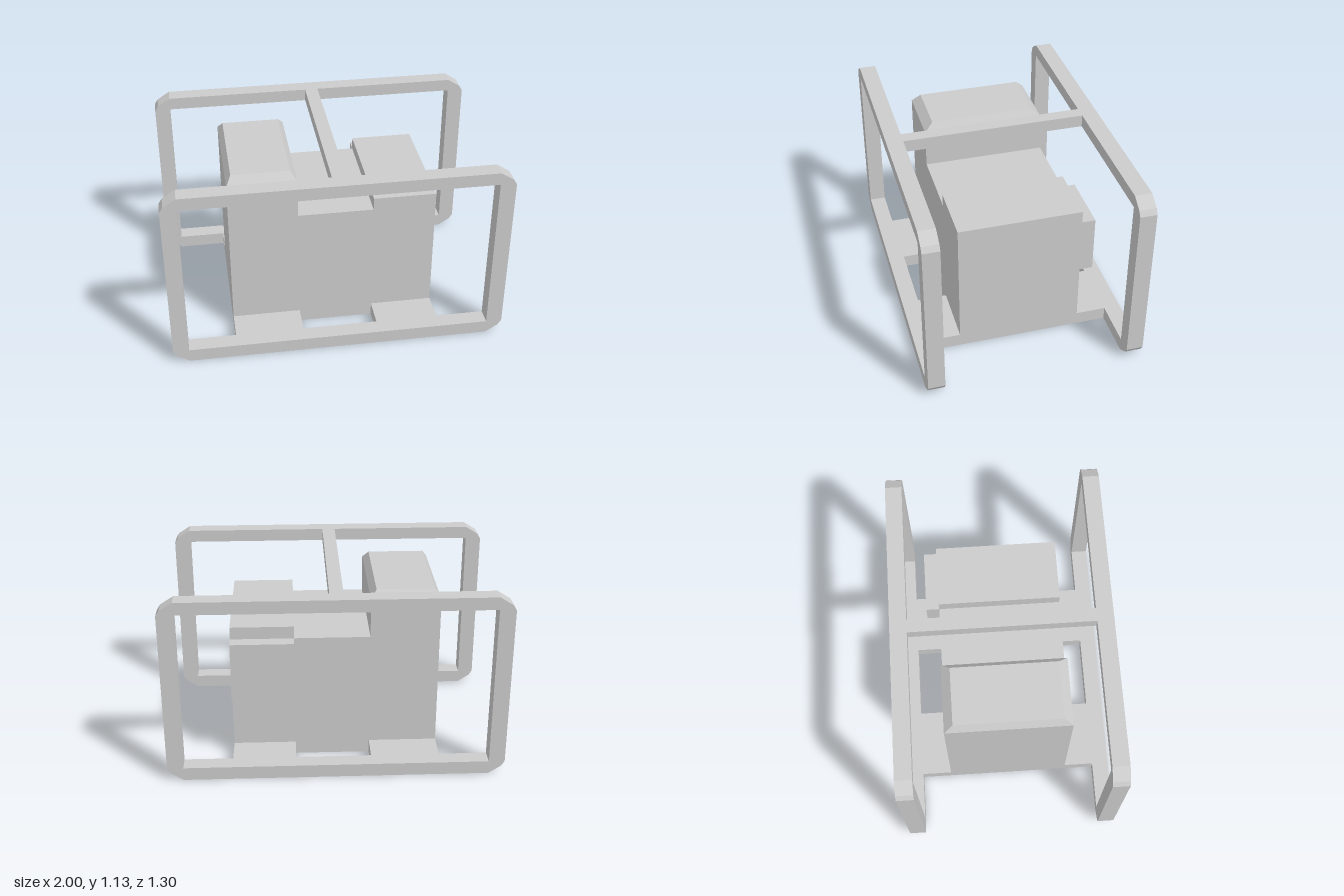
import * as THREE from 'three';
import { mergeGeometries } from 'three/addons/utils/BufferGeometryUtils.js';

// Hollow shell, open underneath
const material = new THREE.MeshStandardMaterial({ color: 0xcccccc, flatShading: true, side: THREE.DoubleSide });

const LEFT = [0.24, 0.615]; // x range of the low block and its feet
const RIGHT = [-0.62, -0.21]; // x range of the tall block and its feet
const DEPTH = 0.37;
const FLOOR = 0.08;
const SIDES = ['px', 'nx', 'py', 'ny', 'pz', 'nz'];

// Sweep an xy polyline along z (counter-clockwise faces outward)
function strip(points, z0, z1) {
  const pos = [];
  for (let i = 0; i < points.length - 1; i++) {
    const [ax, ay] = points[i], [bx, by] = points[i + 1];
    pos.push(ax, ay, z0, bx, by, z0, bx, by, z1, ax, ay, z0, bx, by, z1, ax, ay, z1);
  }
  const g = new THREE.BufferGeometry();
  g.setAttribute('position', new THREE.Float32BufferAttribute(pos, 3));
  g.computeVertexNormals();
  return g;
}

// Flat xy polygon at a given z, facing +z or -z
function wall(points, z, facing, hole) {
  const pts = (list) => list.map(([x, y]) => new THREE.Vector2(x * facing, y));
  const shape = new THREE.Shape(pts(points));
  if (hole) shape.holes.push(new THREE.Path(pts(hole)));
  const g = new THREE.ShapeGeometry(shape).toNonIndexed();
  if (facing < 0) g.rotateY(Math.PI);
  g.translate(0, 0, z);
  g.deleteAttribute('uv');
  return g;
}

const rect = (x0, x1, y0, y1) => [[x0, y0], [x1, y0], [x1, y1], [x0, y1]];

// Box between limits, without the listed sides
function openBox([x0, x1], [y0, y1], [z0, z1], skip) {
  const g = new THREE.BoxGeometry(x1 - x0, y1 - y0, z1 - z0);
  g.translate((x0 + x1) / 2, (y0 + y1) / 2, (z0 + z1) / 2);
  const index = Array.from(g.index.array);
  g.setIndex(index.filter((_, i) => !skip.includes(SIDES[Math.floor(i / 6)])));
  g.clearGroups();
  return g;
}

export function createModel() {
  const model = new THREE.Group();
  const add = (name, parts) => {
    const list = Array.isArray(parts) ? parts : [parts];
    const mesh = new THREE.Mesh(list.length > 1 ? mergeGeometries(list) : list[0], material);
    mesh.name = name;
    model.add(mesh);
  };

  // Body: stepped skin with front and back walls
  add('bodySkin', strip([
    [LEFT[1], 0], [LEFT[1], 0.855], [LEFT[0], 0.855], [LEFT[0], 0.78],
    [RIGHT[1], 0.78], [RIGHT[1], 1.01],
  ], -DEPTH, DEPTH));
  add('bodyRightSide', strip([[RIGHT[0], 1.01], [RIGHT[0], 0]], -DEPTH, DEPTH));
  for (const facing of [1, -1]) {
    const panels = [
      rect(...RIGHT, FLOOR, 1.01),
      rect(RIGHT[1], LEFT[0], 0, 0.78),
      ...(facing > 0
        ? [rect(...LEFT, FLOOR, 0.855)]
        : [rect(...LEFT, FLOOR, 0.43), rect(...LEFT, 0.78, 0.855)]),
    ];
    add(facing > 0 ? 'bodyFront' : 'bodyBack', panels.map((p) => wall(p, facing * DEPTH, facing)));
  }

  // Bevelled cap on the tall block: top corners pulled inward
  const cap = openBox(RIGHT, [1.01, 1.06], [-DEPTH, DEPTH], ['ny']);
  const p = cap.attributes.position;
  for (let i = 0; i < p.count; i++) {
    if (p.getY(i) < 1.04) continue;
    p.setX(i, p.getX(i) < -0.4 ? -0.59 : -0.245);
    p.setZ(i, Math.sign(p.getZ(i)) * 0.317);
  }
  cap.computeVertexNormals();
  add('bevelledCap', cap);

  // Box on the back of the body
  add('backBox', openBox(LEFT, [0.43, 0.78], [-0.45, -DEPTH], ['pz']));

  // Outer frame outline: one corner mirrored to four
  const corner = [[0.905, 0], [0.98, 0.048], [1, FLOOR]];
  const H = 1.135;
  const rightHalf = [...corner, ...corner.map(([x, y]) => [x, H - y]).reverse()];
  const outer = [...rightHalf, ...rightHalf.map(([x, y]) => [-x, y]).reverse()];
  const inner = rect(-0.905, 0.905, FLOOR, 1.06);

  for (const side of [1, -1]) {
    const name = side > 0 ? 'front' : 'back';
    const zs = side > 0 ? [0.55, 0.65] : [-0.65, -0.55];
    add(name + 'Frame', [
      strip(outer, ...zs),
      strip([...inner, inner[0]].reverse(), ...zs),
      wall(outer, side * 0.65, side, inner),
      // Inner face, open where the feet join
      wall([
        [LEFT[1], 0], ...outer, [RIGHT[0], 0], [RIGHT[0], FLOOR],
        inner[0], inner[3], inner[2], inner[1], [LEFT[1], FLOOR],
      ], side * 0.55, -side),
      wall(rect(RIGHT[1], LEFT[0], 0, FLOOR), side * 0.55, -side),
    ]);

    // Feet joining body and frame
    const span = side > 0 ? [DEPTH, 0.55] : [-0.55, -DEPTH];
    add(name + 'LeftFoot', openBox(LEFT, [0, FLOOR], span, ['ny', 'pz', 'nz']));
    add(name + 'RightFoot', openBox(RIGHT, [0, FLOOR], span, ['ny', 'pz', 'nz']));
  }

  // Handle bar across the top of the frames
  add('topBar', openBox([-0.04, 0.04], [1.06, H], [-0.55, 0.55], ['pz', 'nz']));

  return model;
}
